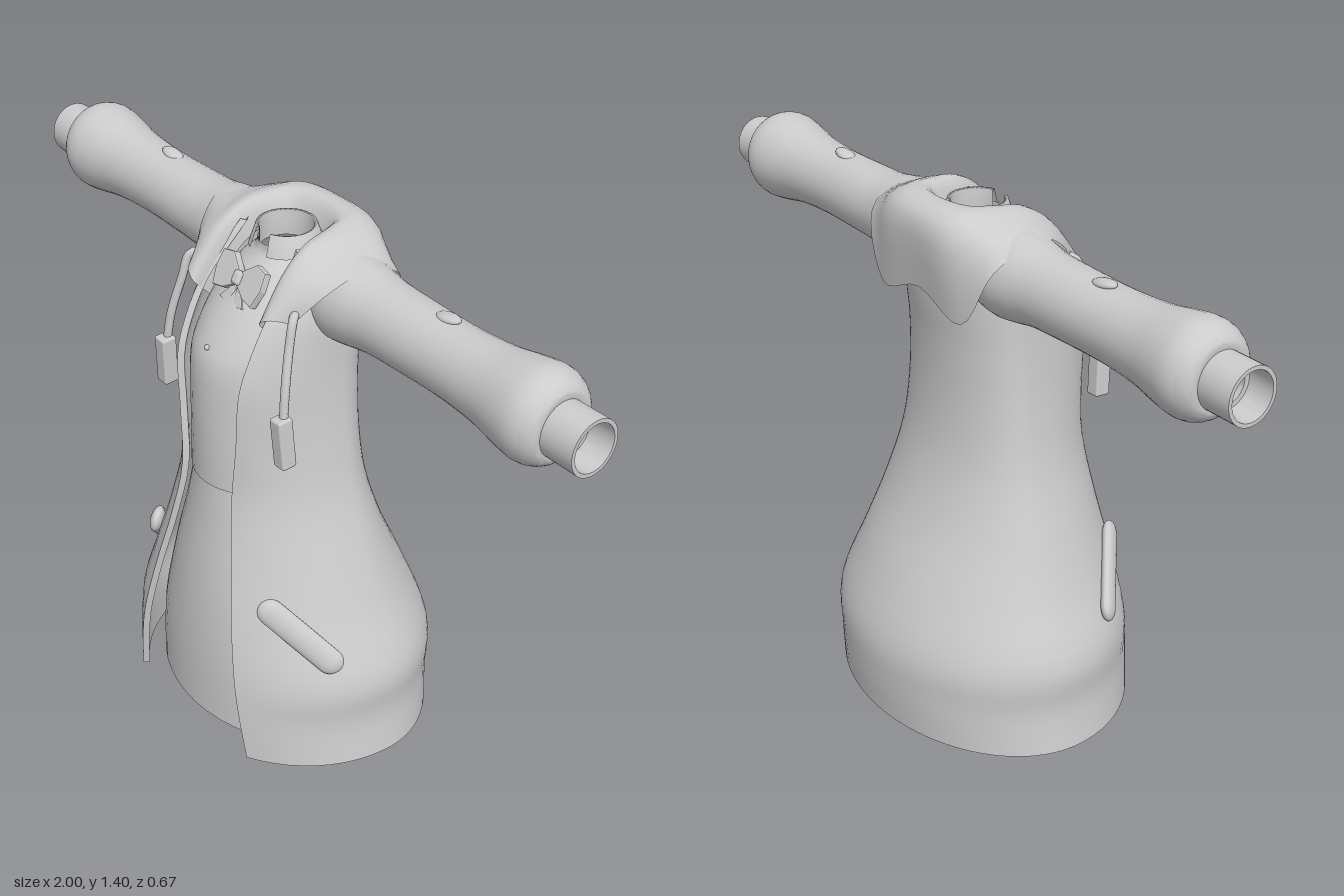
import * as THREE from 'three';
import { toCreasedNormals } from 'three/addons/utils/BufferGeometryUtils.js';
import { RoundedBoxGeometry } from 'three/addons/geometries/RoundedBoxGeometry.js';

const V = (x, y, z) => new THREE.Vector3(x, y, z);

// Smoothly subdivide a table of numeric rows
function resample(rows, steps) {
  const out = [];
  const at = i => rows[Math.min(Math.max(i, 0), rows.length - 1)];
  for (let i = 0; i < rows.length - 1; i++) {
    for (let s = 0; s < steps; s++) {
      const t = s / steps, t2 = t * t, t3 = t2 * t;
      out.push(at(i).map((b, k) => {
        const a = at(i - 1)[k], c = at(i + 1)[k], d = at(i + 2)[k];
        return 0.5 * (2 * b + (c - a) * t + (2 * a - 5 * b + 4 * c - d) * t2 + (3 * b - a - 3 * c + d) * t3);
      }));
    }
  }
  out.push(rows[rows.length - 1]);
  return out;
}

// Skin rows of points; `cap` joins mirrored points of the first row
function loft(rings, closed, cap = false, crease = 0.7) {
  const n = rings[0].length, idx = [];
  const pos = rings.flat().flatMap(p => [p.x, p.y, p.z]);
  for (let j = 0; j < rings.length - 1; j++) {
    for (let i = 0; i < (closed ? n : n - 1); i++) {
      const k = (i + 1) % n, a = j * n + i, b = j * n + k;
      idx.push(a, b, b + n, a, b + n, a + n);
    }
  }
  if (cap) {
    for (let i = 0; i < n / 2 - 1; i++) {
      const a = i, b = i + 1, c = n - 2 - i, d = n - 1 - i;
      idx.push(a, c, b, a, d, c);
    }
  }
  const g = new THREE.BufferGeometry();
  g.setAttribute('position', new THREE.Float32BufferAttribute(pos, 3));
  g.setIndex(idx);
  return toCreasedNormals(g, crease);
}

// Closed oval sections from rows of [y, half width, front z, back z]
function ovalTube(rows) {
  const n = 48;
  return loft(resample(rows, 4).map(([y, X, zf, zb]) => Array.from({ length: n }, (_, i) => {
    const a = i / n * Math.PI * 2, c = Math.cos(a);
    return V(X * Math.sin(a), y, c > 0 ? zf * c : -zb * c);
  })), true);
}

// Open-fronted coat from rows of [y, half width, edge x, edge z, back z]
function coatGeometry() {
  const rows = resample([
    [0, 0.44, 0.24, 0.325, -0.32], [0.12, 0.425, 0.222, 0.333, -0.333],
    [0.24, 0.428, 0.2, 0.332, -0.33], [0.4, 0.36, 0.165, 0.312, -0.27],
    [0.56, 0.303, 0.13, 0.283, -0.197], [0.72, 0.253, 0.105, 0.26, -0.148],
    [0.88, 0.228, 0.116, 0.252, -0.131], [1.03, 0.216, 0.125, 0.248, -0.136],
    [1.13, 0.213, 0.13, 0.215, -0.15], [1.22, 0.21, 0.13, 0.165, -0.158],
    [1.3, 0.185, 0.12, 0.1, -0.15], [1.35, 0.14, 0.11, 0.06, -0.12]], 4);
  const n = 56;
  return loft(rows.map(([y, X, xe, ze, zb]) => {
    const ae = Math.asin(xe / X), zf = ze / Math.cos(ae);
    const outer = Array.from({ length: n + 1 }, (_, i) => {
      const a = ae + (Math.PI * 2 - 2 * ae) * i / n, c = Math.cos(a);
      return V(X * Math.sin(a), y, c > 0 ? zf * c : -zb * c);
    });
    const inner = outer.map(p => {
      const k = 1 - 0.018 / Math.hypot(p.x, p.z);
      return V(p.x * k, y, p.z * k);
    }).reverse();
    return [...outer, ...inner];
  }), true, true);
}

// Folded hood: columns from centre back to front, each inner, crest, middle, hem
function hoodGeometry() {
  const half = [
    [0, 1.33, -0.07, 0, 1.395, -0.11, 0, 1.355, -0.185, 0, 1.18, -0.172],
    [0.06, 1.33, -0.06, 0.09, 1.395, -0.09, 0.125, 1.35, -0.175, 0.165, 1.135, -0.165],
    [0.09, 1.32, -0.01, 0.115, 1.39, -0.03, 0.19, 1.362, -0.11, 0.255, 1.29, -0.135],
    [0.1, 1.3, 0.04, 0.125, 1.375, 0.05, 0.2, 1.362, 0, 0.272, 1.345, -0.01],
    [0.11, 1.25, 0.09, 0.13, 1.32, 0.12, 0.185, 1.325, 0.1, 0.245, 1.305, 0.075],
    [0.12, 1.17, 0.15, 0.132, 1.215, 0.19, 0.165, 1.235, 0.18, 0.195, 1.225, 0.14]];
  const mirrored = half.slice(1).reverse().map(r => r.map((v, k) => k % 3 ? v : -v));
  return loft(resample([...mirrored, ...half], 5).map(r => {
    const pts = [0, 3, 6, 9].map(k => [r[k], r[k + 1], r[k + 2]]);
    return resample(pts, 4).map(p => V(...p));
  }), false, false, 1);
}

// Lathe profile [x, radius] turned along the arm
function armGeometry(profile, steps) {
  const pts = resample(profile, steps).map(([x, r]) => new THREE.Vector2(r, x));
  const g = new THREE.LatheGeometry(pts, 32);
  g.rotateZ(-Math.PI / 2);
  g.scale(1, 1, 0.97);
  return toCreasedNormals(g, 0.7);
}

export function createModel() {
  const model = new THREE.Group();
  const cloth = new THREE.MeshStandardMaterial({ color: 0xcccccc, side: THREE.DoubleSide });
  cloth.name = 'grey cloth';
  const add = (name, geometry, parent = model) => {
    const m = new THREE.Mesh(geometry, cloth);
    m.name = name;
    parent.add(m);
    return m;
  };

  add('coat', coatGeometry());
  add('hood', hoodGeometry());
  add('shirt', ovalTube([
    [0.73, 0.205, 0.268, -0.115], [0.9, 0.19, 0.27, -0.105], [1.05, 0.19, 0.265, -0.11],
    [1.12, 0.185, 0.24, -0.12], [1.2, 0.165, 0.185, -0.12], [1.27, 0.12, 0.125, -0.1],
    [1.31, 0.078, 0.085, -0.072], [1.335, 0.068, 0.078, -0.064]]));
  add('skirt', ovalTube([
    [0.02, 0.385, 0.318, -0.29], [0.2, 0.37, 0.315, -0.28], [0.4, 0.31, 0.3, -0.225],
    [0.6, 0.245, 0.272, -0.145], [0.75, 0.2, 0.255, -0.11]]));

  // Standing collar with two folded points
  const collar = add('collar', new THREE.LatheGeometry(
    [[0.068, 1.3], [0.066, 1.365], [0.074, 1.368], [0.092, 1.315]].map(p => new THREE.Vector2(...p)),
    32, 0.35, Math.PI * 2 - 0.7));
  collar.position.z = 0.005;

  // Bow tie
  const bow = new THREE.Group();
  bow.name = 'bowTie';
  bow.position.set(0, 1.262, 0.142);
  bow.rotation.x = -0.5;
  model.add(bow);
  const wing = new THREE.Shape([[0.005, 0.014], [0.045, 0.047], [0.078, 0.04], [0.083, 0], [0.072, -0.042], [0.04, -0.036], [0.005, -0.014]]
    .map(p => new THREE.Vector2(...p)));
  const tail = new THREE.Shape([[0, 0], [0.04, -0.06], [0.012, -0.068]].map(p => new THREE.Vector2(...p)));
  const bevel = { depth: 0.014, bevelSize: 0.004, bevelThickness: 0.004, bevelSegments: 2 };
  for (const s of [1, -1]) {
    for (const [name, shape] of [['bowWing', wing], ['bowTail', tail]]) {
      const m = add(name, new THREE.ExtrudeGeometry(shape, bevel), bow);
      m.scale.x = s;
      m.position.z = name === 'bowTail' ? -0.014 : -0.006;
    }
  }
  add('bowKnot', new RoundedBoxGeometry(0.03, 0.036, 0.03, 3, 0.01), bow).position.z = 0.006;
  add('shirtButton', new THREE.SphereGeometry(0.007, 12, 8)).position.set(0, 1.11, 0.246);

  // Everything that comes in pairs, built on the left and mirrored
  for (const s of [1, -1]) {
    const side = new THREE.Group();
    side.name = s > 0 ? 'leftSide' : 'rightSide';
    side.scale.x = s;
    model.add(side);

    const sleeve = add('sleeve', armGeometry([
      [0.12, 0.1], [0.2, 0.112], [0.26, 0.106], [0.33, 0.095], [0.45, 0.091], [0.58, 0.09],
      [0.7, 0.098], [0.78, 0.112], [0.84, 0.119], [0.88, 0.108], [0.905, 0.085], [0.905, 0.06]], 4), side);
    sleeve.position.set(0, 1.247, -0.028);
    const cuff = add('cuff', armGeometry([[0.86, 0.07], [1, 0.07], [1, 0.06], [0.93, 0.058], [0.93, 0.045], [0.84, 0.045]], 1), side);
    cuff.position.set(0, 1.243, -0.026);
    // Small elbow crease
    const fold = add('elbowFold', new THREE.SphereGeometry(0.03, 16, 10), side);
    fold.scale.set(1.3, 0.4, 0.7);
    fold.position.set(0.53, 1.335, -0.035);
    fold.rotation.z = 0.15;

    // Slanted pocket flap lying on the coat
    const a = V(0.24, 0.47, 0.258), b = V(0.378, 0.317, 0.145);
    const along = a.clone().sub(b).normalize();
    const out = V(0.72, 0.2, 0.62);
    out.addScaledVector(along, -out.dot(along)).normalize();
    const across = along.clone().cross(out);
    const flap = new THREE.CapsuleGeometry(0.036, a.distanceTo(b) - 0.035, 6, 20);
    flap.scale(1, 1, 0.5);
    flap.applyMatrix4(new THREE.Matrix4().makeBasis(across, along, out));
    add('pocketFlap', flap, side).position.copy(a).add(b).multiplyScalar(0.5);

    // Drawstring and its toggle
    const cord = new THREE.CatmullRomCurve3([V(0.185, 1.25, 0.12), V(0.205, 1.245, 0.145),
      V(0.215, 1.18, 0.165), V(0.232, 1.08, 0.19), V(0.24, 0.99, 0.202)]);
    add('drawstring', new THREE.TubeGeometry(cord, 24, 0.011, 10), side);
    const toggle = add('toggle', new RoundedBoxGeometry(0.04, 0.135, 0.042, 2, 0.006), side);
    toggle.position.set(0.241, 0.948, 0.203);
    toggle.rotation.set(0.06, 0, 0.05);
  }
  return model;
}
